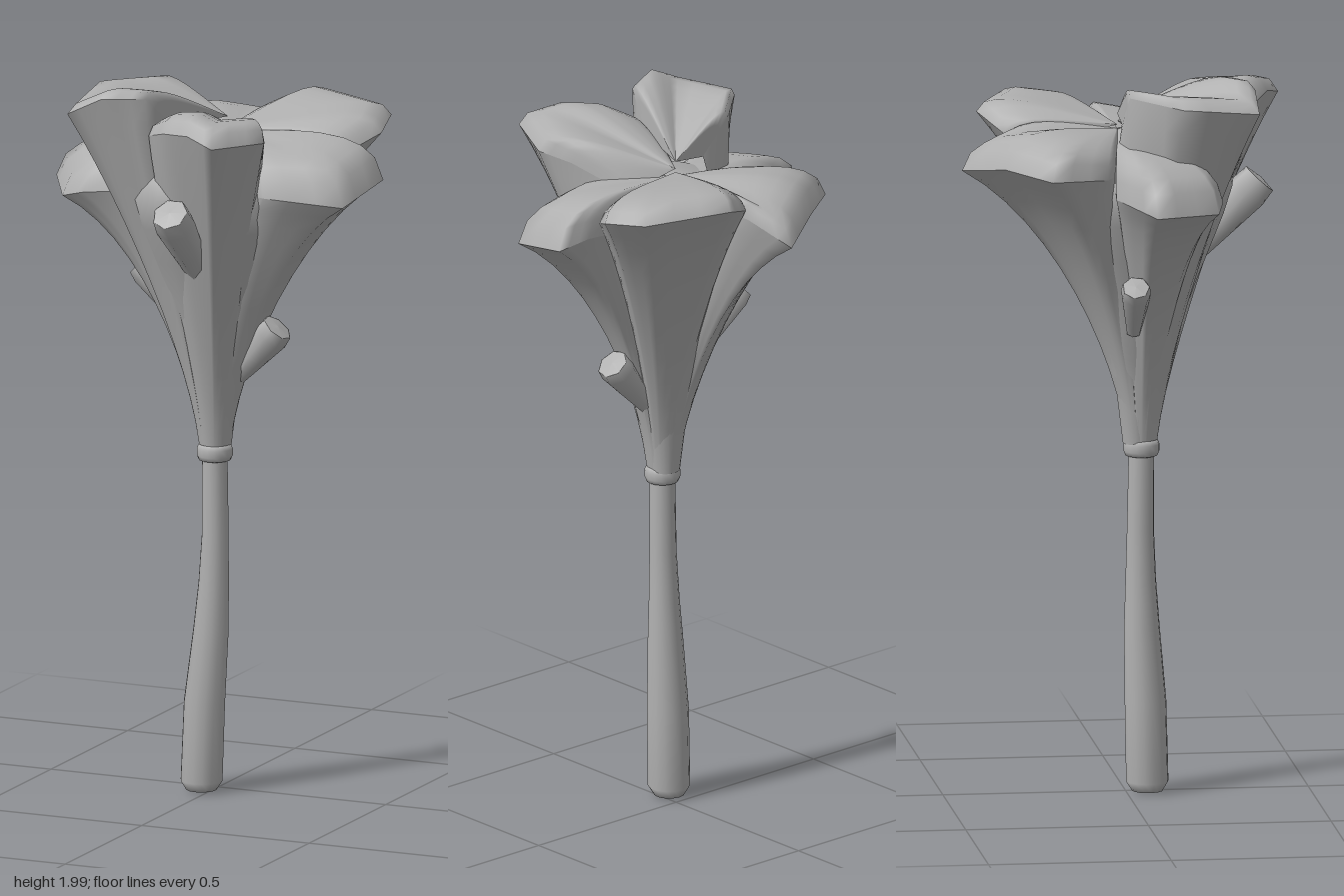
import * as THREE from 'three';
import { mergeGeometries } from 'three/addons/utils/BufferGeometryUtils.js';

const AXIS = new THREE.Vector3(0.01, 0.97, 0.045);
const V = (x, y, z) => new THREE.Vector3(x, y, z);
const grey = new THREE.MeshStandardMaterial({ color: 0xb0b0b0, side: THREE.DoubleSide });
grey.name = 'plain grey';

// Smooth sheet through rows of points
function sheet(rows) {
  const n = rows[0].length, index = [];
  for (let r = 0; r < rows.length - 1; r++) {
    for (let i = 0; i < n - 1; i++) {
      const a = r * n + i, b = a + n;
      index.push(a, b, a + 1, b, b + 1, a + 1);
    }
  }
  const g = new THREE.BufferGeometry().setFromPoints(rows.flat());
  g.setIndex(index);
  g.computeVertexNormals();
  return g;
}

// One flared lobe: an underside rising from the neck to the rim, and a domed top
function lobe(points, centre, bulge) {
  const corners = points.map(p => V(...p)), rim = [];
  for (let i = 0; i < corners.length - 1; i++) {
    for (let k = 0; k < 3; k++) rim.push(corners[i].clone().lerp(corners[i + 1], k / 3));
  }
  rim.push(corners[corners.length - 1]);
  const curves = rim.map(p => {
    const dir = V(p.x - AXIS.x, 0, p.z - AXIS.z);
    const r = dir.length();
    dir.normalize();
    const at = (radius, y) => V(AXIS.x + dir.x * radius, y, AXIS.z + dir.z * radius);
    const rise = p.y - 1.67;
    return new THREE.CubicBezierCurve3(at(0.043, 0.97), at(0.07, 1.2),
      at(0.13 + 0.2 * r + 0.2 * rise, 1.56 + 0.4 * rise), p);
  });
  const under = [], top = [];
  for (let j = 0; j <= 12; j++) under.push(curves.map(c => c.getPoint(j / 12)));
  for (let j = 0; j <= 8; j++) {
    const s = (j / 8) ** 1.4;
    top.push(rim.map((p, i) => {
      const q = p.clone().lerp(centre, s);
      const side = Math.sqrt(Math.max(0, Math.sin(Math.PI * i / (rim.length - 1))));
      q.y += bulge * Math.sin(Math.PI * Math.sqrt(s)) * side;
      return q;
    }));
  }
  return mergeGeometries([sheet(under), sheet(top)]);
}

// Rim corners of each lobe, listed clockwise as seen from above
const LOBES = [
  { name: 'backRightLobe', bulge: 0.07, mid: 1.83, rim: [[-0.14, 1.74, -0.02], [-0.26, 1.74, -0.08],
    [-0.33, 1.75, -0.24], [-0.18, 1.76, -0.35], [-0.02, 1.73, -0.45], [0.03, 1.79, -0.33], [0.04, 1.8, -0.2]] },
  { name: 'backLeftLobe', bulge: 0.045, mid: 1.84, rim: [[0.02, 1.8, -0.18], [0.04, 1.82, -0.33],
    [0.15, 1.86, -0.39], [0.38, 1.85, -0.3], [0.41, 1.83, -0.17], [0.35, 1.79, -0.08], [0.2, 1.78, -0.05]] },
  { name: 'leftLobe', bulge: 0.085, mid: 1.83, rim: [[0.22, 1.74, -0.07], [0.38, 1.75, -0.07],
    [0.47, 1.73, -0.05], [0.44, 1.69, 0.15], [0.23, 1.71, 0.21], [0.14, 1.7, 0.14]] },
  { name: 'frontLobe', bulge: 0.06, mid: 1.85, rim: [[0.14, 1.79, 0.04], [0.22, 1.86, 0.18],
    [0.26, 1.88, 0.27], [0.18, 1.89, 0.44], [0.09, 1.91, 0.4], [0, 1.9, 0.36], [-0.08, 1.87, 0.28],
    [-0.1, 1.82, 0.15]] },
  { name: 'frontRightLobe', bulge: 0.045, mid: 1.87, rim: [[-0.05, 1.88, 0.18], [-0.09, 1.97, 0.28],
    [-0.2, 1.97, 0.33], [-0.3, 1.92, 0.33], [-0.32, 1.94, 0.12], [-0.18, 1.95, -0.01], [-0.08, 1.86, -0.02]] },
  { name: 'rightLobe', bulge: 0.08, mid: 1.82, rim: [[-0.1, 1.7, 0.2], [-0.3, 1.68, 0.23],
    [-0.37, 1.66, 0.21], [-0.47, 1.67, 0.03], [-0.28, 1.69, -0.06], [-0.15, 1.72, -0.05]] },
];

const BUDS = [
  { name: 'frontBud', from: [0.03, 1.44, 0.15], to: [0.025, 1.68, 0.37], r: 0.056 },
  { name: 'leftBud', from: [0.06, 1.15, 0.04], to: [0.195, 1.31, 0.04], r: 0.05 },
  { name: 'rightBud', from: [-0.1, 1.29, 0.01], to: [-0.23, 1.435, 0.0], r: 0.042 },
];

const lathe = (profile, sides) =>
  new THREE.LatheGeometry(profile.map(([r, y]) => new THREE.Vector2(r, y)), sides);

export function createModel() {
  const model = new THREE.Group();
  model.name = 'flaredBloomOnHandle';
  const add = (name, geometry) => {
    const mesh = new THREE.Mesh(geometry, grey);
    mesh.name = name;
    model.add(mesh);
    return mesh;
  };

  // Handle, leaning towards its rounded foot
  const handle = lathe([[0, 0], [0.042, 0.004], [0.058, 0.03], [0.057, 0.25], [0.049, 0.45],
    [0.042, 0.58], [0.037, 0.72], [0.035, 0.95]], 14);
  const lean = new THREE.CatmullRomCurve3([V(-0.025, 0, 0.057), V(-0.018, 0.25, 0.053),
    V(0, 0.5, 0.044), V(0.01, 0.72, 0.042), V(0.01, 0.95, 0.045)]);
  const pos = handle.attributes.position;
  for (let i = 0; i < pos.count; i++) {
    const c = lean.getPoint(pos.getY(i) / 0.95);
    pos.setX(i, pos.getX(i) + c.x);
    pos.setZ(i, pos.getZ(i) + c.z);
  }
  add('handle', handle);

  // Collar between handle and bloom
  add('collar', lathe([[0.03, 0.922], [0.044, 0.926], [0.049, 0.938], [0.049, 0.957],
    [0.044, 0.968], [0.03, 0.972]], 16)).position.set(AXIS.x, 0, AXIS.z);

  // Core that closes the gaps between the lobes
  add('core', lathe([[0.041, 0.96], [0.058, 1.1], [0.09, 1.2], [0.122, 1.3], [0.155, 1.4],
    [0.195, 1.5], [0.235, 1.6], [0.26, 1.68], [0.235, 1.75], [0.12, 1.81], [0, 1.84]], 24))
    .position.set(AXIS.x, 0, AXIS.z - 0.01);

  for (const { name, rim, mid, bulge } of LOBES) add(name, lobe(rim, V(0.02, mid, -0.02), bulge));

  // Small blunt buds on the outside of the bloom
  for (const { name, from, to, r } of BUDS) {
    const a = V(...from), d = V(...to).sub(a), h = d.length();
    const bud = add(name, lathe([[r * 0.5, 0], [r * 0.8, h * 0.5], [r, h * 0.85],
      [r * 0.9, h], [r * 0.85, h], [0, h * 1.02]], 7));
    bud.position.copy(a);
    bud.quaternion.setFromUnitVectors(V(0, 1, 0), d.normalize());
  }
  return model;
}
